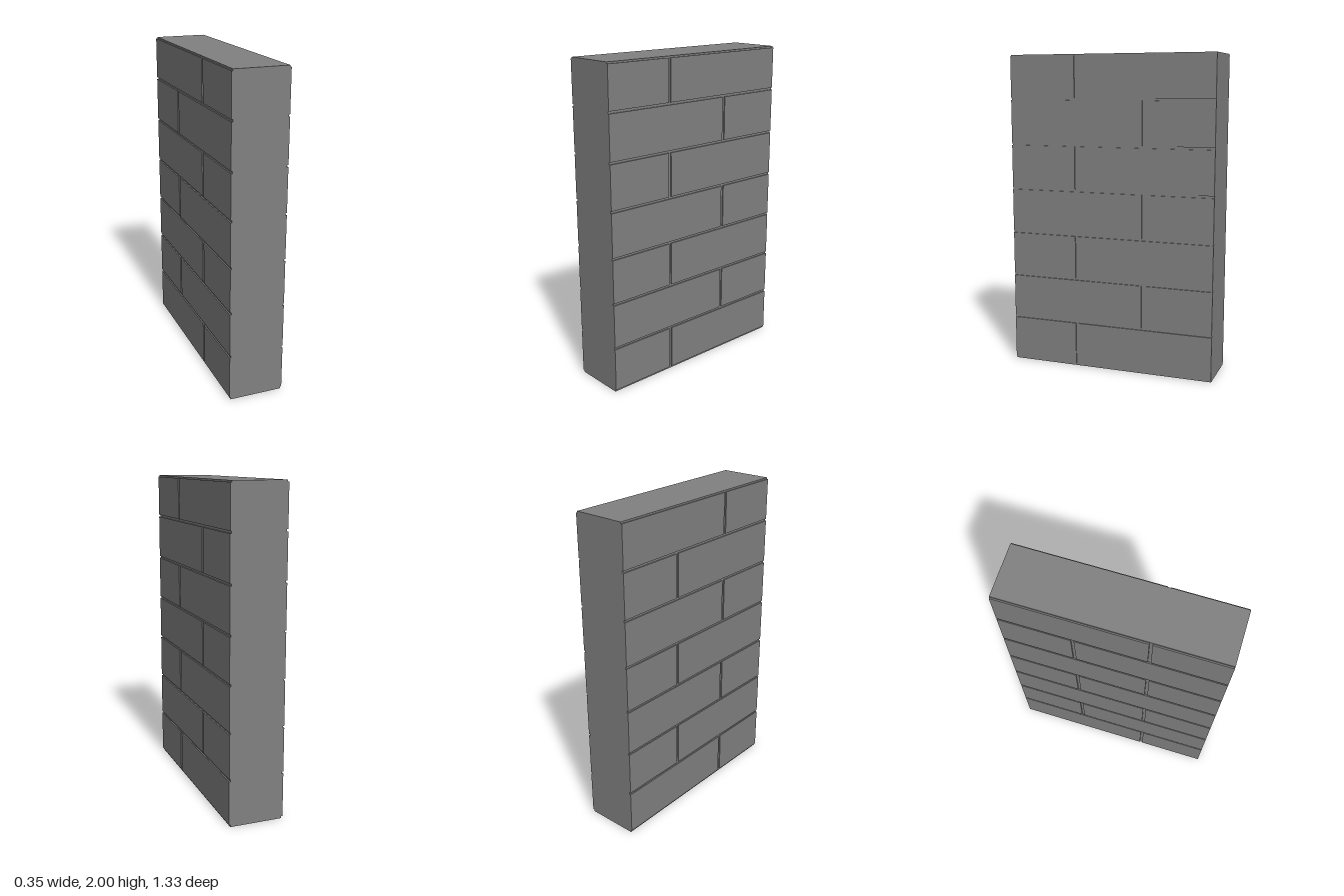
import * as THREE from 'three';

const HEIGHT = 2, DEPTH = 1.333;      // wall size along y and z
const CORE_X = 0.165, FACE_X = 0.173; // half widths at the mortar and at the brick faces
const JOINT = 0.018;                  // mortar joint width
const COURSES = 7;
const PITCH = 0.2865, FIRST_Y = 0.013, BRICK_H = PITCH - JOINT + 0.004;

export function createModel() {
  const wall = new THREE.Group();
  wall.name = 'brickWall';
  const stone = new THREE.MeshStandardMaterial({ color: 0x808080 });
  stone.name = 'grey stone';

  function addBox(name, parent, x0, x1, y0, y1, z0, z1) {
    const mesh = new THREE.Mesh(new THREE.BoxGeometry(x1 - x0, y1 - y0, z1 - z0), stone);
    mesh.position.set((x0 + x1) / 2, (y0 + y1) / 2, (z0 + z1) / 2);
    mesh.name = name;
    parent.add(mesh);
  }

  // Solid core, visible in the joints and at the ends
  addBox('wallCore', wall, -CORE_X, CORE_X, 0, HEIGHT, -DEPTH / 2, DEPTH / 2);

  // Raised brick faces on both long sides, in a running bond
  for (const side of [1, -1]) {
    const faces = new THREE.Group();
    faces.name = side > 0 ? 'leftBrickFaces' : 'rightBrickFaces';
    wall.add(faces);
    const x0 = side > 0 ? CORE_X : -FACE_X;
    const x1 = x0 + FACE_X - CORE_X;
    for (let i = 0; i < COURSES; i++) {
      const y0 = FIRST_Y + i * PITCH;
      const y1 = Math.min(y0 + BRICK_H, HEIGHT - 0.01);
      const joint = (i % 2 ? -1 : 1) * DEPTH / 6;
      addBox('frontBrick', faces, x0, x1, y0, y1, joint + JOINT / 2, DEPTH / 2);
      addBox('backBrick', faces, x0, x1, y0, y1, -DEPTH / 2, joint - JOINT / 2);
    }
  }
  return wall;
}
